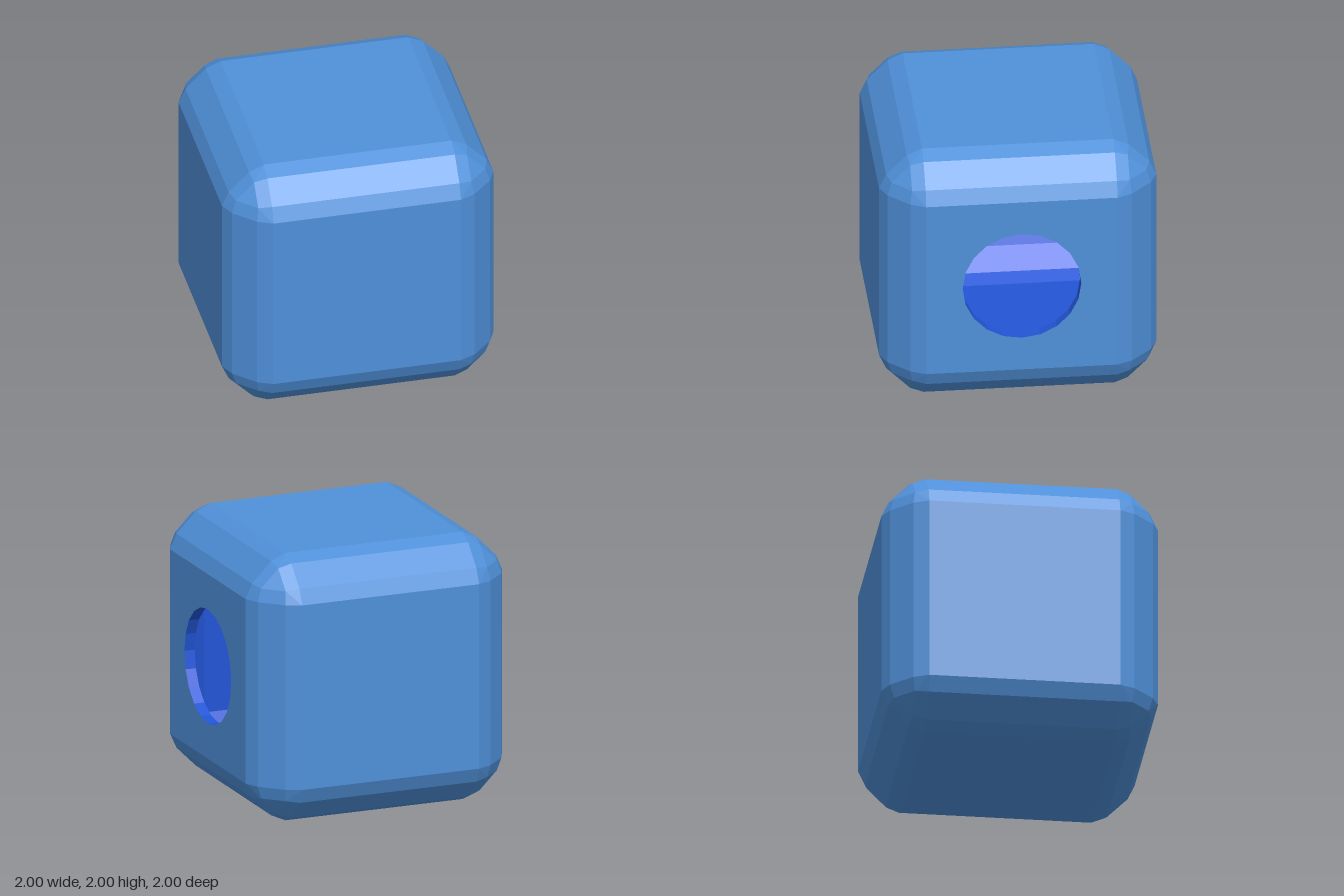
import * as THREE from 'three';
import { mergeGeometries } from 'three/addons/utils/BufferGeometryUtils.js';
import { ConvexGeometry } from 'three/addons/geometries/ConvexGeometry.js';

const HOLE_RADIUS = 0.428;
const HOLE_SIDES = 20;
const WALL = 0.08;
const FLAT = 0.69; // half width of the flat part of each face

// Corner points of a cube whose edges are bevelled in three steps.
function bevelPoints(scale) {
  const corner = [
    [1, FLAT, FLAT], [FLAT, 1, FLAT], [FLAT, FLAT, 1],
    [0.95, 0.8, FLAT], [0.95, FLAT, 0.8], [0.8, 0.95, FLAT],
    [FLAT, 0.95, 0.8], [0.8, FLAT, 0.95], [FLAT, 0.8, 0.95],
    [0.92, 0.785, 0.785], [0.785, 0.92, 0.785], [0.785, 0.785, 0.92],
  ];
  const points = [];
  for (const sx of [-1, 1]) for (const sy of [-1, 1]) for (const sz of [-1, 1]) {
    for (const [x, y, z] of corner) {
      points.push(new THREE.Vector3(x * sx, y * sy, z * sz).multiplyScalar(scale));
    }
  }
  return points;
}

// Bevelled cube skin with a round opening in the +x face; inward flips the faces.
function shellGeometry(scale, inward) {
  const hull = new ConvexGeometry(bevelPoints(scale)).getAttribute('position');
  const kept = [];
  for (let i = 0; i < hull.count; i += 3) {
    const onFace = [0, 1, 2].every((k) => hull.getX(i + k) > scale * 0.995);
    if (onFace) continue;
    for (const k of inward ? [0, 2, 1] : [0, 1, 2]) {
      kept.push(hull.getX(i + k), hull.getY(i + k), hull.getZ(i + k));
    }
  }
  const body = new THREE.BufferGeometry();
  body.setAttribute('position', new THREE.Float32BufferAttribute(kept, 3));

  // Flat square face with the hole cut out
  const f = FLAT * scale;
  const face = new THREE.Shape([
    new THREE.Vector2(-f, -f), new THREE.Vector2(f, -f),
    new THREE.Vector2(f, f), new THREE.Vector2(-f, f),
  ]);
  const ring = [];
  for (let i = 0; i < HOLE_SIDES; i++) {
    const a = (-i / HOLE_SIDES) * Math.PI * 2;
    ring.push(new THREE.Vector2(Math.cos(a) * HOLE_RADIUS, Math.sin(a) * HOLE_RADIUS));
  }
  face.holes.push(new THREE.Path(ring));
  const plate = new THREE.ShapeGeometry(face).toNonIndexed();
  plate.deleteAttribute('uv');
  plate.deleteAttribute('normal');
  plate.rotateY(inward ? -Math.PI / 2 : Math.PI / 2);
  plate.translate(scale, 0, 0);

  const merged = mergeGeometries([body, plate]);
  merged.computeVertexNormals();
  return merged;
}

export function createModel() {
  const group = new THREE.Group();
  group.name = 'hollowCube';
  const material = (color, side = THREE.FrontSide) =>
    new THREE.MeshStandardMaterial({ color, side, flatShading: true });
  const add = (name, geometry, mat) => {
    const mesh = new THREE.Mesh(geometry, mat);
    mesh.name = name;
    mesh.position.y = 1;
    group.add(mesh);
  };

  const lightBlue = material(0x4f90d9);
  const deepBlue = material(0x2255d6);

  add('outerShell', shellGeometry(1, false), lightBlue);
  add('innerCavity', shellGeometry(1 - WALL, true), deepBlue);

  // Thickness of the wall around the opening
  const rim = new THREE.CylinderGeometry(HOLE_RADIUS, HOLE_RADIUS, WALL, HOLE_SIDES, 1, true);
  rim.rotateZ(Math.PI / 2);
  rim.translate(1 - WALL / 2, 0, 0);
  add('holeRim', rim, material(0x2255d6, THREE.DoubleSide));

  return group;
}
